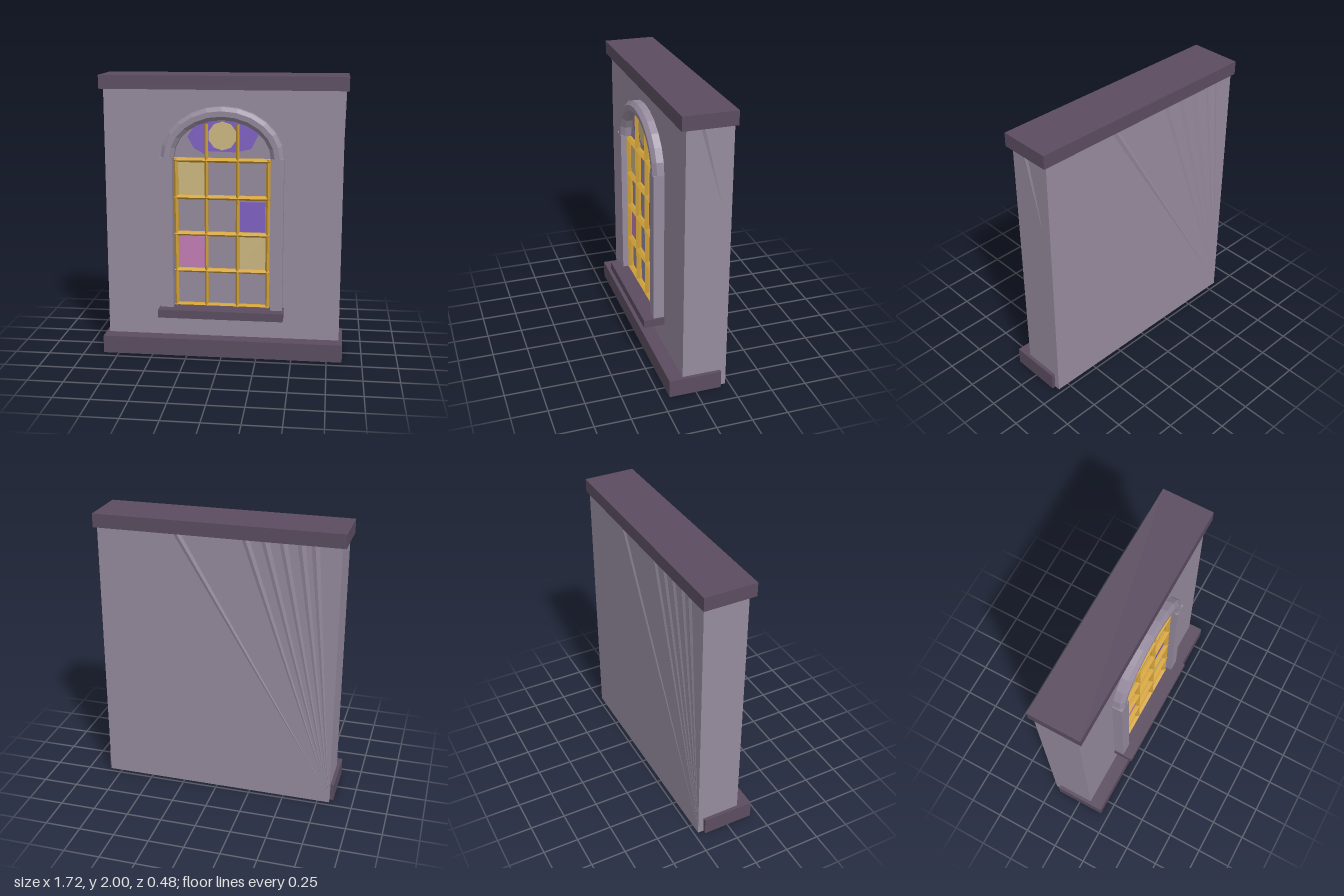
import * as THREE from 'three';
import { ConvexGeometry } from 'three/addons/geometries/ConvexGeometry.js';

const mat = (name, color) => {
  const m = new THREE.MeshStandardMaterial({ color });
  m.name = name;
  return m;
};

export function createModel() {
  const model = new THREE.Group();
  model.name = 'archedWindowWall';
  const stone = mat('lilacStone', 0x958a9d);
  const trim = mat('darkPlumTrim', 0x5b4d60);
  const gold = mat('gold', 0xd2a23a);
  const cream = mat('creamGlass', 0xcbb780);
  const violet = mat('violetGlass', 0x7f60c2);
  const pink = mat('pinkGlass', 0xc27cb4);

  const add = (name, geometry, material, parent = model) => {
    const mesh = new THREE.Mesh(geometry, material);
    mesh.name = name;
    parent.add(mesh);
    return mesh;
  };
  // box given by its two extreme corners
  const block = (name, material, [x0, y0, z0], [x1, y1, z1], parent) => {
    const mesh = add(name, new THREE.BoxGeometry(x1 - x0, y1 - y0, z1 - z0), material, parent);
    mesh.position.set((x0 + x1) / 2, (y0 + y1) / 2, (z0 + z1) / 2);
    return mesh;
  };

  // wall, plinth, coping and sill
  block('wall', stone, [-0.835, 0.003, -0.222], [0.835, 1.94, 0.09]);
  block('basePlinth', trim, [-0.86, 0, -0.18], [0.86, 0.127, 0.19]);
  block('topCoping', trim, [-0.86, 1.905, -0.237], [0.86, 2, 0.127]);
  block('windowSill', trim, [-0.445, 0.3, 0.08], [0.44, 0.358, 0.238]);

  // shallow folds in the stone, tapering from the coping to a point
  const fold = (name, tip, a, b, ridge) => add(name, new ConvexGeometry(
    [tip, a, b, ridge].map((p) => new THREE.Vector3(...p))), stone);
  for (const x of [0.27, -0.2, -0.33, -0.45, -0.57, -0.66]) {
    fold('backFold', [-0.83, 0.05, -0.222], [x - 0.03, 1.91, -0.221], [x + 0.03, 1.91, -0.221], [x, 1.91, -0.231]);
  }
  fold('sideFold', [0.835, 1.38, -0.155], [0.834, 1.91, -0.05], [0.834, 1.91, 0.0], [0.846, 1.91, -0.025]);

  // frame: two jambs
  for (const s of [-1, 1]) {
    const [a, b] = s < 0 ? [-0.437, -0.345] : [0.345, 0.43];
    block('frameJamb', stone, [a, 0.355, 0.08], [b, 1.44, 0.165]);
  }

  // faceted arch: bevelled cross-section [inner to outer, z] swept over a half ellipse
  const section = [[0, 0.08], [0, 0.135], [0.3, 0.163], [0.7, 0.165], [1, 0.14], [1, 0.08]];
  const steps = 12;
  const point = (i, j) => {
    const angle = (Math.PI * i) / steps;
    const [t, z] = section[j];
    return [Math.cos(angle) * (0.338 + 0.092 * t), 1.435 + Math.sin(angle) * (0.265 + 0.093 * t), z];
  };
  const verts = [];
  const tri = (...corners) => corners.forEach(([i, j]) => verts.push(...point(i, j)));
  for (let i = 0; i < steps; i++) {
    for (let j = 0; j < section.length - 1; j++) {
      tri([i, j], [i, j + 1], [i + 1, j + 1]);
      tri([i, j], [i + 1, j + 1], [i + 1, j]);
    }
  }
  for (let j = 1; j < section.length - 1; j++) {
    tri([0, 0], [0, j + 1], [0, j]);
    tri([steps, 0], [steps, j], [steps, j + 1]);
  }
  const arch = new THREE.BufferGeometry();
  arch.setAttribute('position', new THREE.Float32BufferAttribute(verts, 3));
  arch.computeVertexNormals();
  add('frameArch', arch, stone);

  // gold lattice of ridged bars
  const lattice = new THREE.Group();
  lattice.name = 'lattice';
  model.add(lattice);
  const bar = (name, length, width, x, y, horizontal) => {
    const ridge = new THREE.Shape([[-width / 2, 0], [width / 2, 0], [width / 2, 0.018],
      [0, 0.04], [-width / 2, 0.018]].map((p) => new THREE.Vector2(...p)));
    const geometry = new THREE.ExtrudeGeometry(ridge, { depth: length, bevelEnabled: false });
    geometry.translate(0, 0, -length / 2);
    geometry.rotateX(Math.PI / 2);
    if (horizontal) geometry.rotateZ(Math.PI / 2);
    add(name, geometry, gold, lattice).position.set(x, y, 0.088);
  };
  for (const x of [-0.328, 0.32]) bar('outerUpright', 1.07, 0.03, x, 0.895, false);
  for (const x of [-0.113, 0.107]) bar('innerUpright', 1.31, 0.025, x, 1.015, false);
  for (const y of [0.368, 0.622, 0.89, 1.153, 1.417]) bar('crossBar', 0.67, y < 0.4 ? 0.02 : 0.032, -0.003, y, true);

  // coloured panes
  const pane = (name, material, x0, y0, x1, y1) =>
    block(name, material, [x0, y0, 0.093], [x1, y1, 0.1]);
  pane('creamPane', cream, -0.312, 1.165, -0.128, 1.4);
  pane('violetPane', violet, 0.125, 0.91, 0.3, 1.125);
  pane('pinkPane', pink, -0.312, 0.645, -0.128, 0.87);
  pane('creamPane', cream, 0.12, 0.64, 0.31, 0.875);

  // fan light: violet lobes around a cream disc
  const lobes = new THREE.Shape([[-0.245, 1.58], [-0.2, 1.5], [-0.12, 1.455], [-0.1, 1.48], [0.1, 1.475],
    [0.2, 1.5], [0.25, 1.6], [0.2, 1.655], [0.1, 1.69], [-0.1, 1.69], [-0.2, 1.65]]
    .map((p) => new THREE.Vector2(...p)));
  add('fanLightViolet', new THREE.ExtrudeGeometry(lobes, { depth: 0.008, bevelEnabled: false }), violet)
    .position.z = 0.092;
  const disc = new THREE.CylinderGeometry(0.1, 0.1, 0.008, 10);
  disc.rotateX(Math.PI / 2);
  add('fanLightDisc', disc, cream).position.set(0, 1.588, 0.102);

  return model;
}
